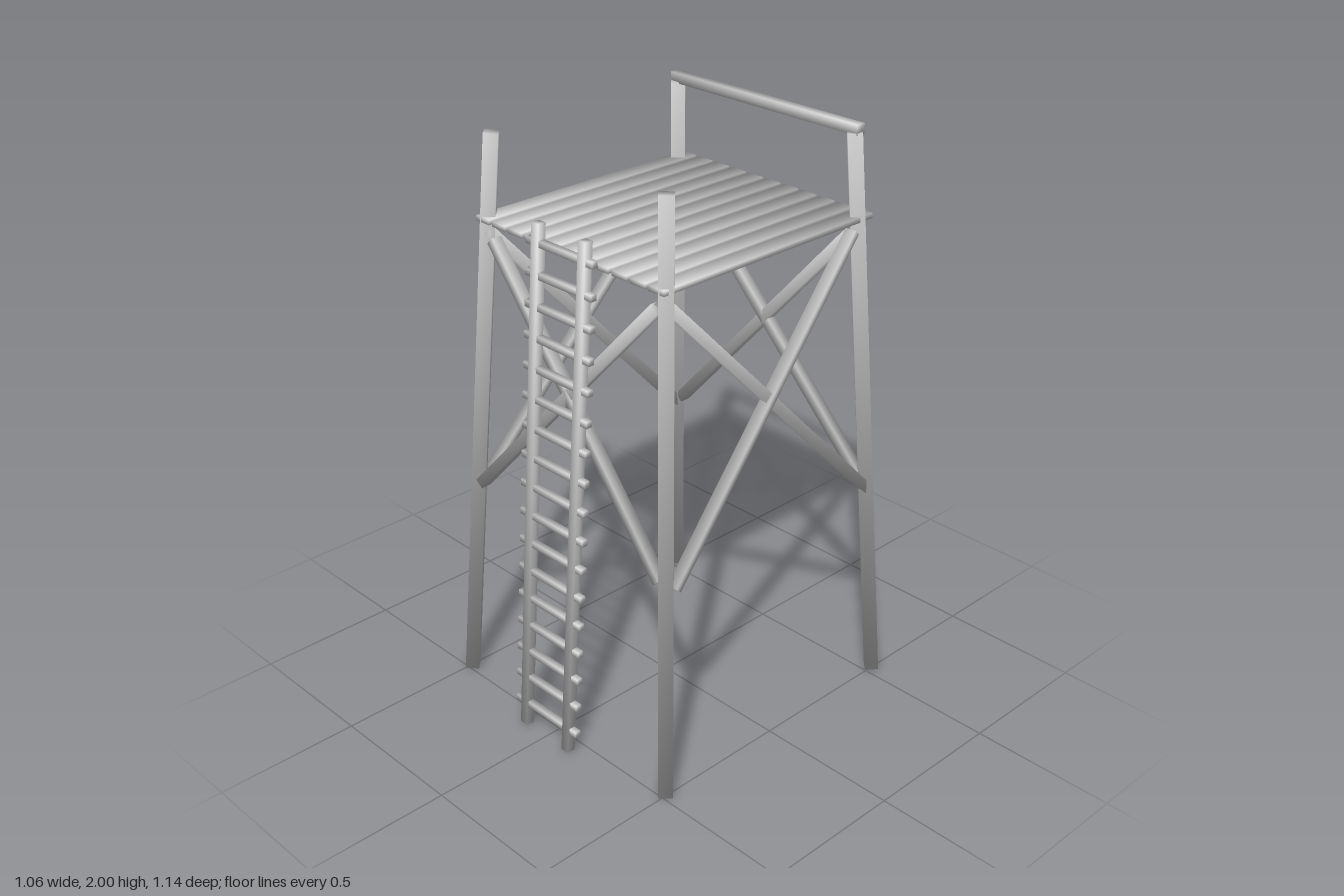
import * as THREE from 'three';

const material = new THREE.MeshStandardMaterial({ color: 0xcccccc });

// Box whose corner normals point diagonally outwards, so the timber shades as if rounded
function timber(w, h, l) {
  const geometry = new THREE.BoxGeometry(w, h, l);
  const { position, normal } = geometry.attributes;
  const corner = new THREE.Vector3();
  for (let i = 0; i < position.count; i++) {
    corner.set(Math.sign(position.getX(i)), Math.sign(position.getY(i)), Math.sign(position.getZ(i)));
    corner.normalize();
    normal.setXYZ(i, corner.x, corner.y, corner.z);
  }
  return geometry;
}

// Timber from a to b: w is its horizontal thickness, h the other one
function beam(name, a, b, w, h = w) {
  const from = new THREE.Vector3(...a), to = new THREE.Vector3(...b);
  const mesh = new THREE.Mesh(timber(w, h, from.distanceTo(to)), material);
  mesh.name = name;
  mesh.position.copy(from).add(to).multiplyScalar(0.5);
  const dir = to.clone().sub(from).normalize();
  const side = new THREE.Vector3(0, 1, 0).cross(dir).normalize();
  const up = dir.clone().cross(side);
  mesh.quaternion.setFromRotationMatrix(new THREE.Matrix4().makeBasis(side, up, dir));
  return mesh;
}

export function createModel() {
  const tower = new THREE.Group();
  tower.name = 'watchtower';
  const midZ = -0.027;

  // Four legs leaning inwards along the diagonals
  for (const sx of [-1, 1]) {
    for (const sz of [-1, 1]) {
      tower.add(beam('leg', [sx * 0.495, 0.001, midZ + sz * 0.508],
        [sx * 0.385, 1.972, midZ + sz * 0.398], 0.047));
    }
  }

  for (const s of [-1, 1]) {
    // Crossed braces on the front and back
    for (const sx of [-1, 1]) {
      tower.add(beam(s > 0 ? 'frontBrace' : 'backBrace',
        [sx * 0.43, 0.757, midZ + s * 0.468],
        [-sx * 0.37, 1.63, midZ + s * 0.418], 0.036));
    }
    // Crossed braces on each side, one sturdy and one flat
    tower.add(beam('sideBrace', [s * 0.455, 0.73, -0.493], [s * 0.395, 1.66, 0.4], 0.034));
    tower.add(beam('sideBrace', [s * 0.463, 0.735, 0.415], [s * 0.4, 1.655, -0.42], 0.04, 0.025));
  }

  // Platform planks
  const planks = new THREE.Group();
  planks.name = 'platform';
  for (let i = -5; i <= 5; i++) {
    planks.add(beam('plank', [i * 0.0782, 1.695, -0.487], [i * 0.0782, 1.695, 0.417], 0.063, 0.017));
  }
  tower.add(planks);

  // Rail across the back posts
  tower.add(beam('backRail', [-0.406, 1.983, -0.428], [0.406, 1.983, -0.428], 0.034));

  // Leaning ladder
  const ladder = new THREE.Group();
  ladder.name = 'ladder';
  const ladderZ = (y) => 0.555 - 0.0717 * y;
  for (const x of [-0.105, 0.105]) {
    ladder.add(beam('ladderRail', [x, 0.001, ladderZ(0)], [x, 1.77, ladderZ(1.77)], 0.031));
  }
  for (let i = 0; i < 17; i++) {
    const y = 0.083 + i * 0.1015;
    ladder.add(beam('rung', [-0.15, y, ladderZ(y)], [0.15, y, ladderZ(y)], 0.022));
  }
  tower.add(ladder);

  return tower;
}
